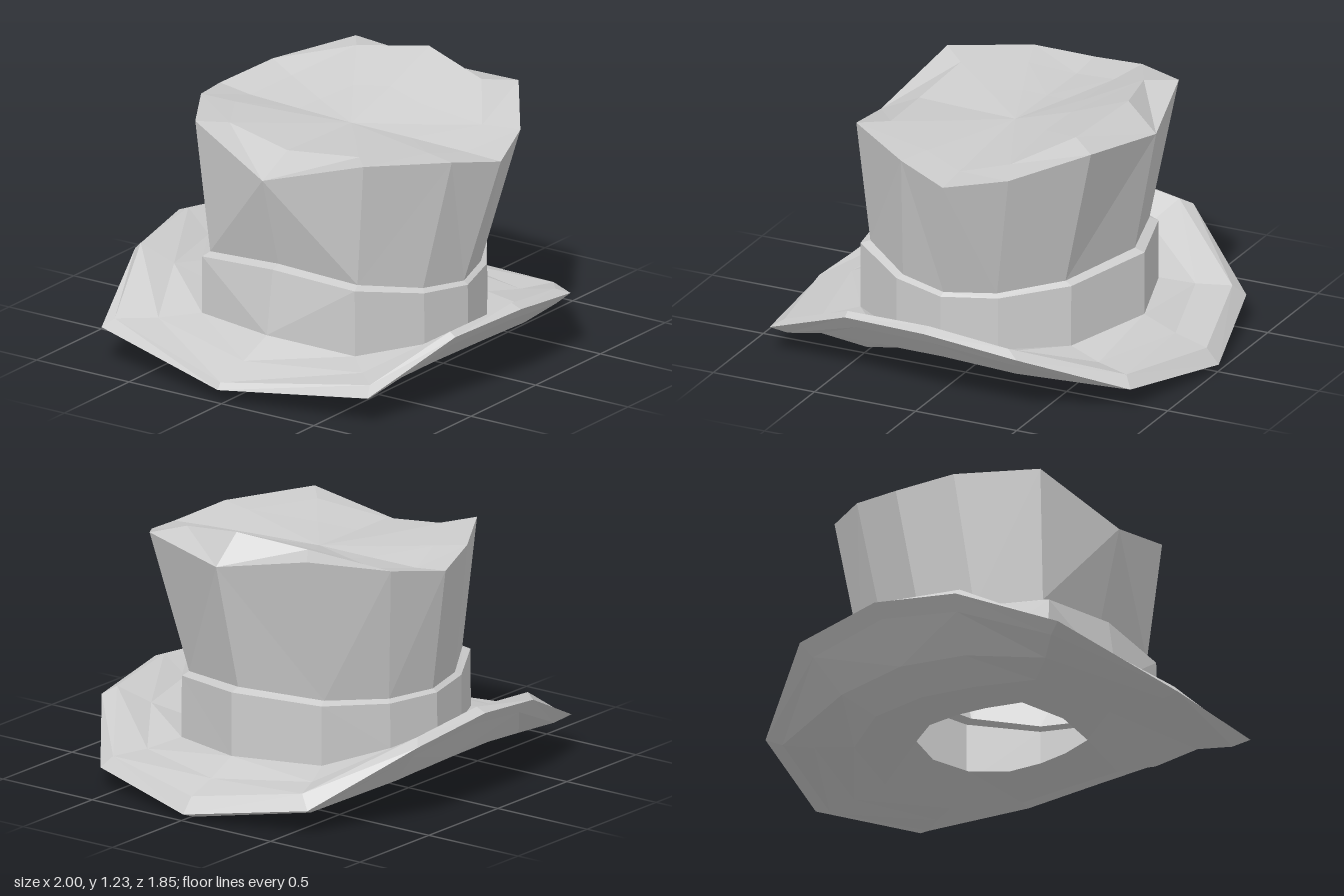
import * as THREE from 'three';

const material = new THREE.MeshStandardMaterial({ color: 0xcccccc, flatShading: true, side: THREE.DoubleSide });

// Every ring has 12 corners [x, y, z], running from the back over +x, the front and -x.
const scaled = (ring, sx, sz, heights) =>
  ring.map(([x, y, z], i) => [x * sx, heights ? heights[i] : y, z * sz]);

const blend = (a, b, t, sag) =>
  a.map((p, i) => [0, 1, 2].map(k => p[k] + (b[i][k] - p[k]) * t - (k === 1 ? sag : 0)));

const distance = (p, q) => Math.hypot(p[0] - q[0], p[1] - q[1], p[2] - q[2]);

// Skins a series of rings, splitting each quad along its shorter diagonal.
function loft(name, rings) {
  const n = rings[0].length;
  const points = rings.flat();
  const index = [];
  for (let r = 0; r < rings.length - 1; r++) {
    for (let i = 0; i < n; i++) {
      const a = r * n + i, aNext = r * n + (i + 1) % n;
      const b = a + n, bNext = aNext + n;
      if (distance(points[b], points[aNext]) < distance(points[a], points[bNext])) {
        index.push(a, b, aNext, b, bNext, aNext);
      } else {
        index.push(a, b, bNext, a, bNext, aNext);
      }
    }
  }
  const indexed = new THREE.BufferGeometry();
  indexed.setAttribute('position', new THREE.Float32BufferAttribute(points.flat(), 3));
  indexed.setIndex(index);
  const geometry = indexed.toNonIndexed();
  geometry.computeVertexNormals();
  const mesh = new THREE.Mesh(geometry, material);
  mesh.name = name;
  return mesh;
}

// Outer edge of the brim: curled up at front and back, drooping at the sides
const brimEdge = [
  [0, .43, -.93], [.44, .37, -.89], [.85, .12, -.59], [1, .03, -.01],
  [.85, .10, .57], [.44, .28, .88], [0, .34, .92], [-.42, .32, .86],
  [-.87, .13, .70], [-1, .06, -.02], [-.87, .17, -.74], [-.41, .38, -.88],
];

// Upper inside edge of the brim's lip
const brimLip = [
  [0, .45, -.88], [.39, .40, -.85], [.81, .18, -.53], [.94, .10, -.01],
  [.81, .15, .53], [.38, .31, .84], [0, .36, .87], [-.42, .34, .83],
  [-.81, .17, .67], [-.98, .09, -.02], [-.81, .20, -.71], [-.41, .41, -.85],
];

// Foot of the crown, where it rises out of the band
const crownFoot = [
  [-.02, .48, -.62], [.22, .48, -.56], [.47, .50, -.39], [.59, .52, 0],
  [.44, .48, .39], [.19, .44, .57], [-.04, .43, .64], [-.27, .45, .58],
  [-.52, .50, .40], [-.56, .53, 0], [-.53, .50, -.39], [-.27, .48, -.55],
];

// Flared top edge of the crown
const crownRim = [
  [.03, 1.06, -.73], [.31, 1.11, -.64], [.61, 1.18, -.40], [.71, 1.10, .03],
  [.61, 1.15, .48], [.31, 1.05, .70], [.03, 1.00, .79], [-.22, 1.05, .70],
  [-.56, 1.08, .46], [-.67, .95, -.01], [-.56, 1.11, -.45], [-.23, 1.10, -.65],
];

export function createModel() {
  const hat = new THREE.Group();
  hat.name = 'topHat';

  // Brim: underside from the head opening outward, round the lip, back in on top
  const bandFoot = scaled(crownFoot, 1.08, 1.04,
    [.27, .26, .21, .21, .18, .18, .20, .18, .18, .22, .22, .26]);
  bandFoot[9][0] = -.65;
  const opening = scaled(brimEdge, .36, .34, Array(12).fill(.11));
  const belly = scaled(brimEdge, .62, .62,
    [.10, .09, .08, .06, .05, .08, .10, .08, .04, .07, .08, .09]);
  belly[8] = [-.48, .04, .52];
  const flank = scaled(brimEdge, .79, .79,
    [.19, .16, .08, .03, .07, .13, .16, .14, .08, .06, .10, .17]);
  const lowerEdge = scaled(brimEdge, .92, .94,
    [.37, .31, .09, 0, .08, .23, .28, .26, .10, .05, .14, .32]);
  hat.add(loft('brim', [
    opening, belly, flank, lowerEdge, brimEdge, brimLip,
    blend(brimLip, bandFoot, .5, .01), bandFoot,
  ]));

  // Band with a narrow ledge around the crown
  const bandTop = scaled(crownFoot, 1.08, 1.035, crownFoot.map(p => p[1] - .015));
  hat.add(loft('band', [bandFoot, bandTop, crownFoot]));

  // Crown side walls
  hat.add(loft('crown', [crownFoot, crownRim]));

  // Dented top: raised to one side, with a valley from front to back
  const ridge = scaled(crownRim, .79, .77,
    [1.04, 1.08, 1.19, 1.23, 1.17, 1.06, 1.01, 1.05, 1.07, 1.04, 1.09, 1.08]);
  ridge[3][0] = .57;
  ridge[9][0] = -.48;
  const middle = scaled(crownRim, .4, .4, ridge.map(p => 1.03 + (p[1] - 1.03) * .45));
  hat.add(loft('crownTop', [crownRim, ridge, middle, scaled(crownRim, 0, 0, Array(12).fill(1.03))]));

  return hat;
}
